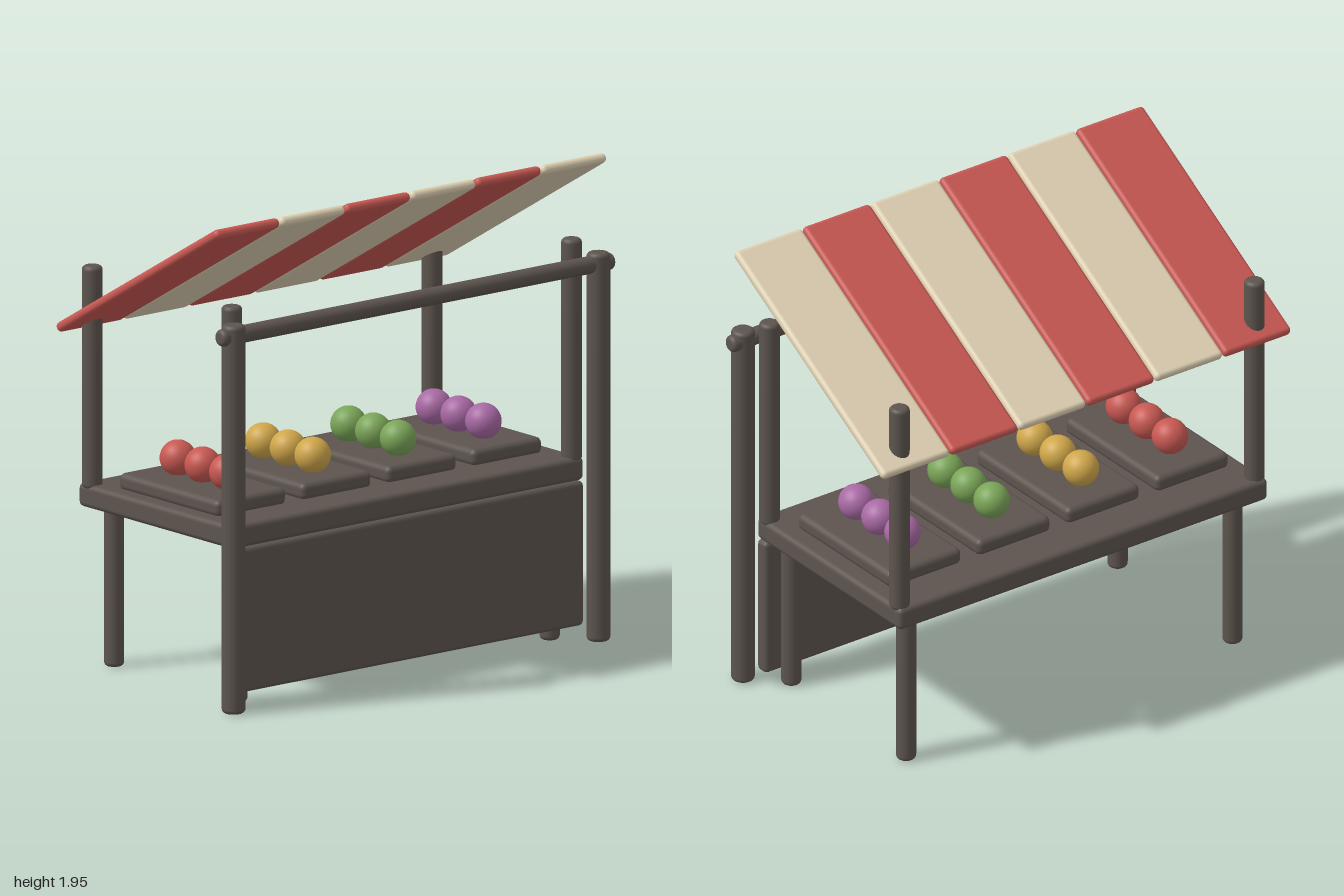
import * as THREE from 'three';
import { RoundedBoxGeometry } from 'three/addons/geometries/RoundedBoxGeometry.js';

const flat = (name, color) => {
  const m = new THREE.MeshStandardMaterial({ color });
  m.name = name;
  return m;
};

export function createModel() {
  const stall = new THREE.Group();
  stall.name = 'marketStall';

  const wood = flat('wood', 0x5d544e);
  const red = flat('red', 0xc85852);
  const cream = flat('cream', 0xdfd1b3);
  const yellow = flat('yellow', 0xcfa64a);
  const green = flat('green', 0x7aa558);
  const purple = flat('purple', 0xa869a4);

  const add = (name, geometry, material, x, y, z) => {
    const mesh = new THREE.Mesh(geometry, material);
    mesh.name = name;
    mesh.position.set(x, y, z);
    stall.add(mesh);
    return mesh;
  };

  // Board with softened edges, given by its centre
  const board = (name, material, w, h, d, r, x, y, z) =>
    add(name, new RoundedBoxGeometry(w, h, d, 3, r), material, x, y, z);

  // Round pole with softened ends, centred on its own length
  const poleGeometry = (radius, length) => {
    const r = 0.018, h = length / 2, points = [new THREE.Vector2(0, -h)];
    for (let i = 0; i <= 4; i++) {
      const a = (i / 4) * Math.PI / 2;
      points.push(new THREE.Vector2(radius - r + r * Math.sin(a), -h + r - r * Math.cos(a)));
    }
    for (let i = 4; i >= 0; i--) {
      const a = (i / 4) * Math.PI / 2;
      points.push(new THREE.Vector2(radius - r + r * Math.sin(a), h - r + r * Math.cos(a)));
    }
    points.push(new THREE.Vector2(0, h));
    return new THREE.LatheGeometry(points, 24);
  };
  const post = (name, radius, x, y0, y1, z) =>
    add(name, poleGeometry(radius, y1 - y0), wood, x, (y0 + y1) / 2, z);

  // Posts and legs, mirrored left and right
  for (const [side, s] of [['left', 1], ['right', -1]]) {
    post(side + 'FrontPost', 0.047, s * 0.93, 0, 1.57, 0.49);
    post(side + 'CounterFrontPost', 0.041, s * 0.866, 0.72, 1.62, 0.402);
    post(side + 'CounterBackPost', 0.041, s * 0.866, 0.72, 1.62, -0.455);
    post(side + 'FrontLeg', 0.04, s * 0.796, 0, 0.66, 0.352);
    post(side + 'BackLeg', 0.04, s * 0.796, 0, 0.66, -0.405);
  }

  // Crossbar between the front posts
  const rail = add('frontRail', poleGeometry(0.035, 2), wood, 0, 1.522, 0.486);
  rail.rotation.z = Math.PI / 2;

  // Counter and front panel
  board('counterTop', wood, 1.8, 0.095, 0.948, 0.022, 0, 0.69, -0.031);
  board('frontPanel', wood, 1.8, 0.585, 0.062, 0.02, 0, 0.348, 0.412);

  // Trays, each with a row of three fruits
  const fruit = new THREE.SphereGeometry(0.072, 28, 20);
  [red, yellow, green, purple].forEach((material, i) => {
    const x = -0.66 + i * 0.435;
    board('tray', wood, 0.355, 0.07, 0.616, 0.025, x, 0.764, -0.026);
    for (const z of [0.127, -0.025, -0.177]) add('fruit', fruit, material, x, 0.862, z);
  });

  // Sloping awning of six striped slats
  for (let i = 0; i < 6; i++) {
    const slat = board('awningSlat', i % 2 ? cream : red, 0.327, 0.04, 1.143, 0.019,
      -0.833 + i * 0.3333, 1.655, -0.03);
    slat.rotation.x = -Math.PI / 6;
  }

  return stall;
}
